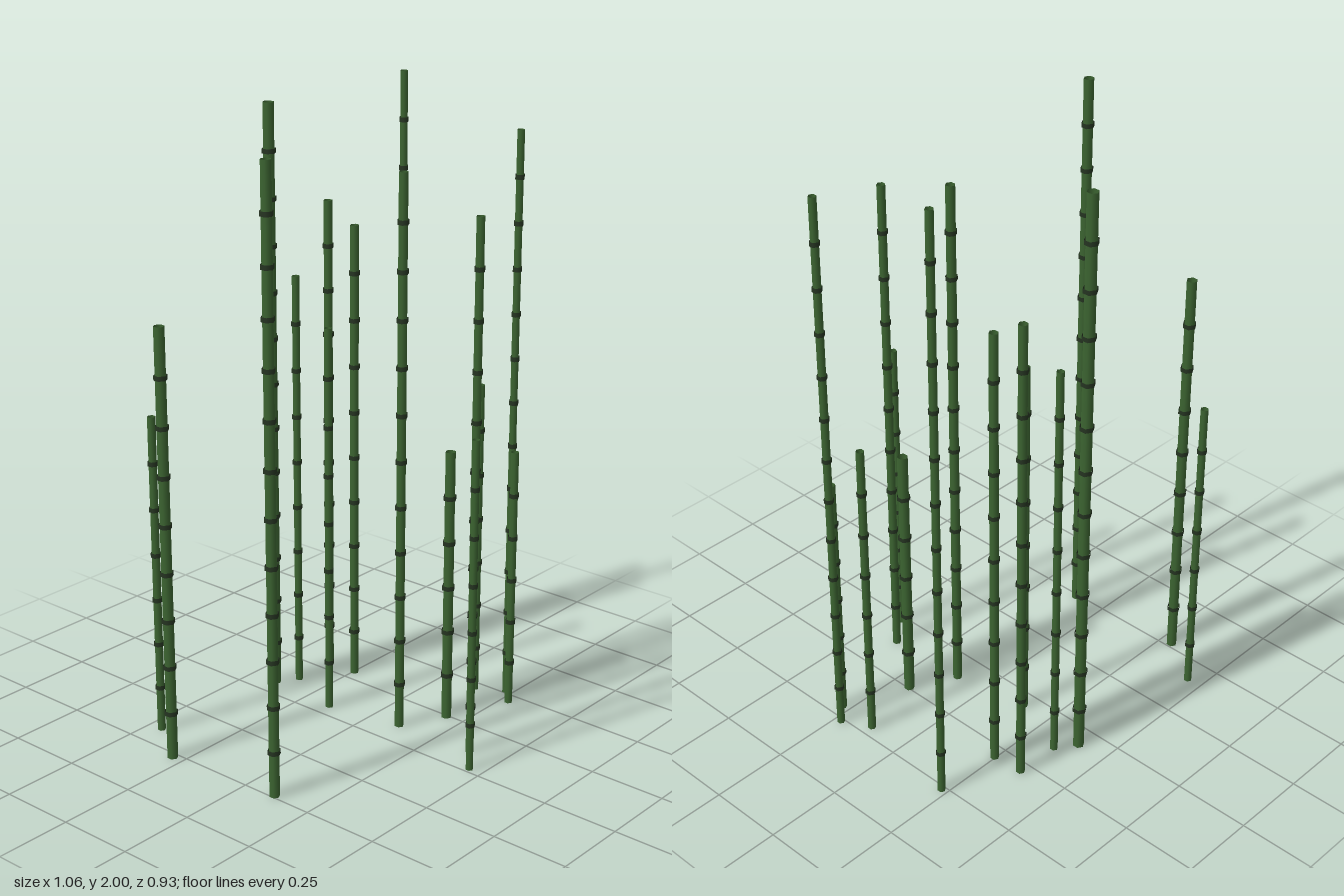
import * as THREE from 'three';

// Each stalk: x, z, height, radius
const STALKS = [
  [-0.519, -0.291, 1.395, 0.017],
  [-0.49, 0.111, 1.935, 0.0165],
  [-0.412, -0.448, 1.055, 0.013],
  [0.018, 0.454, 1.075, 0.012],
  [0.053, -0.146, 1.285, 0.013],
  [0.071, -0.398, 1.945, 0.018],
  [0.098, 0.11, 1.80, 0.015],
  [0.109, 0.385, 1.71, 0.0135],
  [0.137, -0.353, 1.395, 0.0125],
  [0.244, 0.187, 0.91, 0.017],
  [0.286, -0.348, 1.61, 0.0145],
  [0.295, -0.246, 1.545, 0.0145],
  [0.457, 0.277, 0.87, 0.0135],
  [0.462, 0.135, 1.06, 0.013],
  [0.511, 0.227, 1.875, 0.0125],
  [0.514, -0.229, 2.0, 0.0125],
];
const SIDES = 6;
const SPACING = 0.144;
const NODE_HEIGHT = 0.015;

// Straight hexagonal tube, open at both ends
function tube(name, radius, height, y, material) {
  const geometry = new THREE.CylinderGeometry(radius, radius, height, SIDES, 1, true);
  const mesh = new THREE.Mesh(geometry, material);
  mesh.name = name;
  mesh.position.y = y;
  return mesh;
}

export function createModel() {
  const group = new THREE.Group();
  group.name = 'bambooGrove';
  const green = new THREE.MeshStandardMaterial({ color: 0x3d6632, side: THREE.DoubleSide });
  const dark = new THREE.MeshStandardMaterial({ color: 0x263522, side: THREE.DoubleSide });

  for (const [x, z, height, radius] of STALKS) {
    const stalk = new THREE.Group();
    stalk.name = 'bambooStalk';
    stalk.position.set(x, 0, z);
    stalk.add(tube('stem', radius, height, height / 2, green));

    // Evenly spaced joint rings
    const segments = Math.floor(height / SPACING);
    for (let i = 1; i < segments; i++) {
      stalk.add(tube('jointRing', radius * 1.25, NODE_HEIGHT, (i * height) / segments, dark));
    }
    group.add(stalk);
  }
  return group;
}
